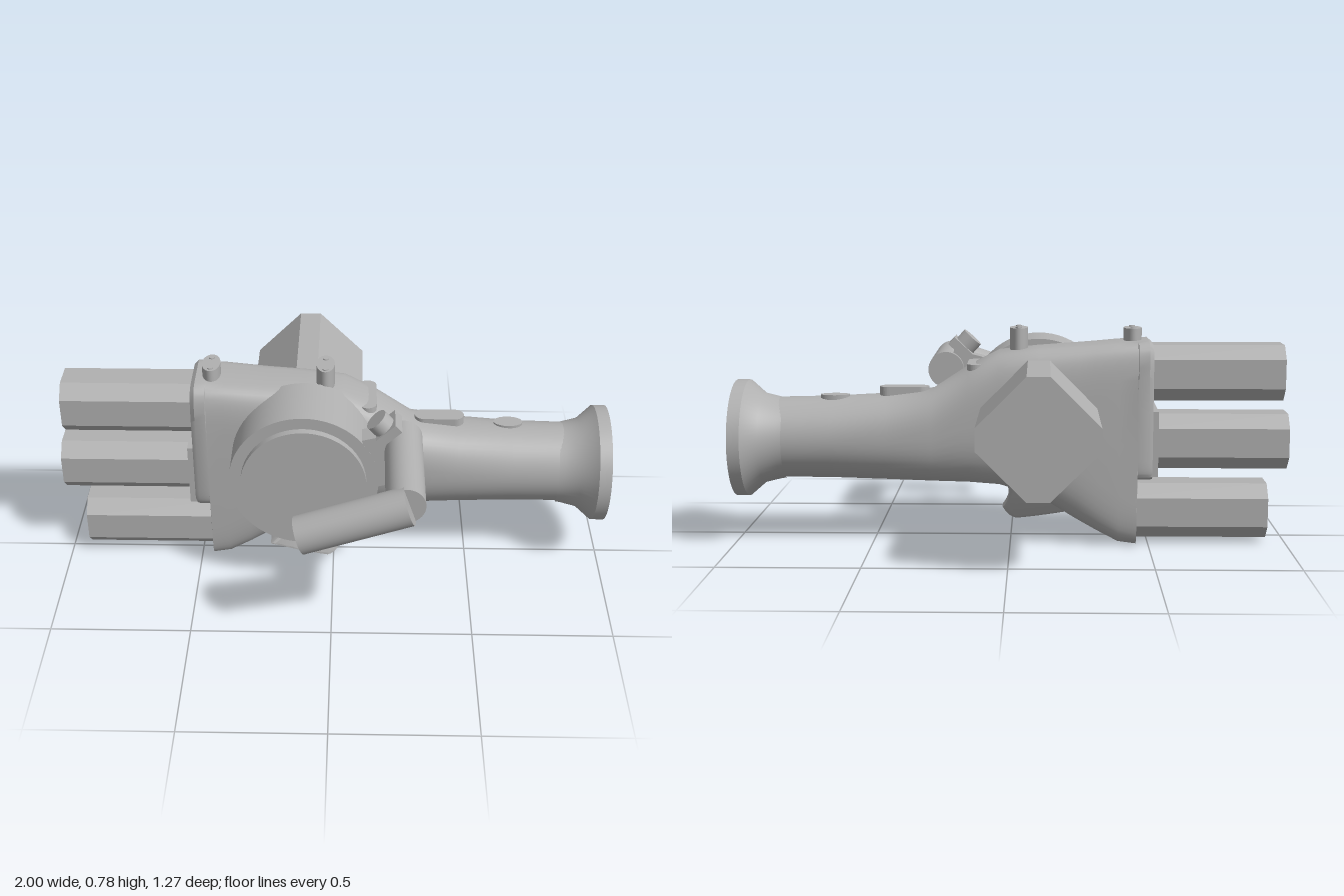
import * as THREE from 'three';
import { toCreasedNormals } from 'three/addons/utils/BufferGeometryUtils.js';

export function createModel() {
  const model = new THREE.Group();
  const grey = new THREE.MeshStandardMaterial({ color: 0xb0b0b0 });
  grey.name = 'grey plastic';

  const add = (name, geometry, x = 0, y = 0, z = 0) => {
    const mesh = new THREE.Mesh(geometry, grey);
    mesh.name = name;
    mesh.position.set(x, y, z);
    model.add(mesh);
    return mesh;
  };
  // Round bar between two points
  const rod = (name, from, to, r, sides = 40) => {
    const a = new THREE.Vector3(...from), b = new THREE.Vector3(...to);
    const mesh = add(name, new THREE.CylinderGeometry(r, r, a.distanceTo(b), sides));
    mesh.position.copy(a).add(b).multiplyScalar(0.5);
    mesh.quaternion.setFromUnitVectors(new THREE.Vector3(0, 1, 0), b.sub(a).normalize());
    return mesh;
  };
  // Square bar with cut corners, extruded along z
  const octBar = (half, flat, length) => {
    const pts = [[flat, half], [-flat, half], [-half, flat], [-half, -flat],
      [-flat, -half], [flat, -half], [half, -flat], [half, flat]];
    const shape = new THREE.Shape(pts.map(([x, y]) => new THREE.Vector2(x, y)));
    return new THREE.ExtrudeGeometry(shape, { depth: length, bevelEnabled: false });
  };
  // Upright pill-shaped stud: length along z or x, standing on its base
  const stud = (name, x, y, z, rx, rz, h) =>
    add(name, new THREE.CylinderGeometry(1, 1, 1, 28), x, y + h / 2, z).scale.set(rx, h, rz);

  // Hand and wrist: [x, bottom, top, zBack, zFront, topExponent, bottomExponent]
  const sections = [
    [-0.51, 0.25, 0.735, -0.185, 0.07, 6, 12],
    [-0.495, 0.25, 0.748, -0.195, 0.08, 6, 12],
    [-0.457, 0.25, 0.746, -0.195, 0.08, 6, 12],
    [-0.455, 0.008, 0.746, -0.195, 0.08, 6, 7],
    [-0.39, 0.015, 0.742, -0.197, 0.08, 6, 6],
    [-0.31, 0.055, 0.735, -0.198, 0.08, 5.5, 5],
    [-0.24, 0.092, 0.73, -0.198, 0.08, 5, 4],
    [-0.1, 0.175, 0.72, -0.2, 0.08, 4.5, 3.2],
    [0.04, 0.215, 0.705, -0.2, 0.082, 4, 2.8],
    [0.15, 0.222, 0.65, -0.2, 0.086, 3.4, 2.5],
    [0.28, 0.225, 0.565, -0.2, 0.09, 2.8, 2.3],
    [0.45, 0.23, 0.545, -0.2, 0.09, 2.3, 2.1],
    [0.65, 0.235, 0.535, -0.198, 0.09, 2, 2],
    [0.86, 0.236, 0.53, -0.195, 0.09, 2, 2],
  ];
  const N = 48, pos = [], idx = [];
  const pw = (v, n) => Math.sign(v) * Math.pow(Math.abs(v), 2 / n);
  for (const [x, y0, y1, z0, z1, nt, nb] of sections) {
    for (let j = 0; j < N; j++) {
      const t = (j / N) * Math.PI * 2, n = Math.sin(t) >= 0 ? nt : nb;
      pos.push(x, (y0 + y1) / 2 + pw(Math.sin(t), n) * (y1 - y0) / 2,
        (z0 + z1) / 2 + pw(Math.cos(t), n) * (z1 - z0) / 2);
    }
  }
  const centre = pos.length / 3;
  pos.push(-0.51, 0.49, -0.057);
  for (let j = 0; j < N; j++) {
    const k = (j + 1) % N;
    idx.push(centre, j, k);
    for (let i = 0; i < sections.length - 1; i++) {
      const a = i * N + j, d = i * N + k;
      idx.push(a, a + N, d + N, a, d + N, d);
    }
  }
  const hand = new THREE.BufferGeometry();
  hand.setAttribute('position', new THREE.Float32BufferAttribute(pos, 3));
  hand.setIndex(idx);
  add('handAndWrist', toCreasedNormals(hand, 0.6));
  add('knucklePlate', new THREE.BoxGeometry(0.06, 0.235, 0.25), -0.5, 0.382, -0.057);

  // Flared cuff at the wrist end
  const cuff = [[0.147, 0.82], [0.15, 0.84], [0.165, 0.9], [0.213, 0.955], [0.213, 1], [0, 1]];
  const cuffGeo = new THREE.LatheGeometry(cuff.map(([r, y]) => new THREE.Vector2(r, y)), 64);
  add('cuff', toCreasedNormals(cuffGeo.rotateZ(-Math.PI / 2), 0.6), 0, 0.38, -0.052);

  // Three barrels side by side
  [[-0.98, 0.63], [-1, 0.382], [-0.93, 0.127]].forEach(([x, y], i) => {
    add('barrel' + (i + 1), octBar(0.1, 0.052, 0.55).rotateY(Math.PI / 2), x, y, -0.055);
  });

  // Large grip block behind the hand
  add('rearBlock', octBar(0.207, 0.039, 0.455), -0.103, 0.475, -0.635);

  // Drum on the front of the hand
  rod('drum', [-0.102, 0.476, 0], [-0.102, 0.476, 0.238], 0.264, 64);
  rod('drumFace', [-0.102, 0.476, 0.2], [-0.102, 0.476, 0.265], 0.222, 64);

  // Crank: shaft and handle
  rod('crankShaft', [0.248, 0.608, 0.14], [0.248, 0.608, 0.56], 0.067);
  rod('crankHandle', [-0.105, 0.49, 0.566], [0.26, 0.614, 0.566], 0.067);

  // Bracket and fasteners joining the crank to the drum
  add('crankBracket', new THREE.BoxGeometry(0.12, 0.2, 0.075), 0.185, 0.57, 0.2).rotation.z = 0.25;
  add('upperClamp', new THREE.BoxGeometry(0.035, 0.09, 0.105), 0.195, 0.685, 0.208).rotation.z = -0.82;
  rod('upperPin', [0.2, 0.67, 0.213], [0.15, 0.725, 0.213], 0.042, 24);
  add('lowerClamp', new THREE.BoxGeometry(0.1, 0.035, 0.085), 0.25, 0.457, 0.213);
  rod('lowerPin', [0.245, 0.5, 0.213], [0.245, 0.432, 0.213], 0.038, 24);

  // Studs on the knuckles, each with two small pips
  for (const x of [-0.44, -0.03]) {
    stud('knuckleStud', x, 0.69, -0.055, 0.033, 0.06, 0.098);
    for (const z of [-0.092, -0.018]) stud('studPip', x, 0.785, z, 0.011, 0.013, 0.007);
  }

  // Raised details along the wrist
  const pill = (name, x, y, z, lx, lz, h) => {
    const r = Math.min(lx, lz) / 2, d = (Math.max(lx, lz) / 2) - r;
    const shape = new THREE.Shape();
    shape.absarc(d, 0, r, -Math.PI / 2, Math.PI / 2);
    shape.absarc(-d, 0, r, Math.PI / 2, Math.PI * 1.5);
    const geo = new THREE.ExtrudeGeometry(shape, { depth: h, bevelEnabled: false, curveSegments: 10 });
    geo.rotateX(-Math.PI / 2);
    if (lz > lx) geo.rotateY(Math.PI / 2);
    return add(name, geo, x, y, z);
  };
  pill('wristBar', 0.122, 0.6, -0.057, 0.065, 0.195, 0.062);
  pill('wristSlot', 0.385, 0.51, -0.065, 0.18, 0.068, 0.064);
  stud('wristButton', 0.638, 0.51, -0.07, 0.053, 0.033, 0.034);

  // Thumb below the palm, leaning forward towards its tip
  const thumb = new THREE.Shape();
  thumb.moveTo(-0.235, 0.092);
  thumb.quadraticCurveTo(-0.12, 0.068, -0.02, 0.057);
  thumb.quadraticCurveTo(0.015, 0.065, 0.032, 0.108);
  thumb.quadraticCurveTo(0.0, 0.15, 0.012, 0.2);
  thumb.lineTo(-0.03, 0.235);
  thumb.lineTo(-0.11, 0.2);
  thumb.closePath();
  const thumbGeo = new THREE.ExtrudeGeometry(thumb, {
    depth: 0.055, bevelThickness: 0.012, bevelSize: 0.01, bevelOffset: -0.01, bevelSegments: 2,
  });
  const p = thumbGeo.attributes.position;
  for (let i = 0; i < p.count; i++) p.setZ(i, p.getZ(i) - 0.02 + (0.19 - p.getY(i)) * 0.55);
  thumbGeo.computeVertexNormals();
  add('thumb', toCreasedNormals(thumbGeo, 0.6));

  return model;
}
